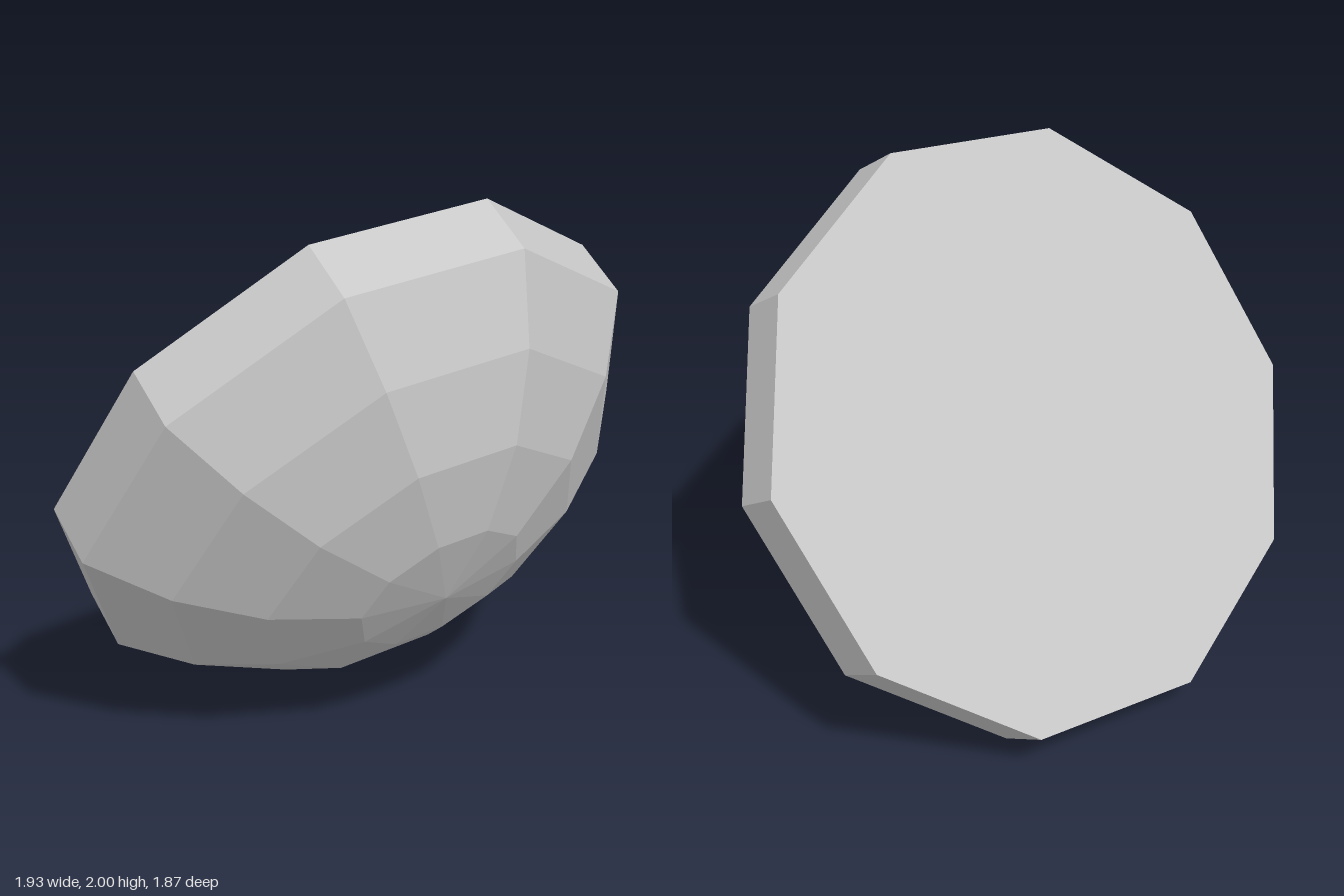
import * as THREE from 'three';

const SIDES = 10;
const RIM_RADIUS = 1.128; // radius of the ten-sided face
const BAND = 0.24;        // height of the straight rim band
const CAP = 0.595;        // height of the rounded cap under the band
const CAP_RINGS = 4;

export function createModel() {
  const group = new THREE.Group();
  group.name = 'tiltedDome';
  const grey = new THREE.MeshStandardMaterial({ color: 0xc8c8c8, flatShading: true });
  grey.name = 'grey';

  const addPart = (name, profile) => {
    const points = profile.map(([r, y]) => new THREE.Vector2(r, y));
    const mesh = new THREE.Mesh(new THREE.LatheGeometry(points, SIDES), grey);
    mesh.name = name;
    body.add(mesh);
  };

  const body = new THREE.Group();
  body.name = 'domeBody';
  group.add(body);

  // Rounded cap: a slice of a sphere, from the pole up to the band
  const radius = (RIM_RADIUS ** 2 + CAP ** 2) / (2 * CAP);
  const spread = Math.asin(RIM_RADIUS / radius);
  const cap = [];
  for (let i = 0; i <= CAP_RINGS; i++) {
    const a = (spread * i) / CAP_RINGS;
    cap.push([radius * Math.sin(a), -BAND - CAP + radius * (1 - Math.cos(a))]);
  }
  addPart('roundedCap', cap);

  // Straight band round the rim, and the flat face that closes it
  addPart('rimBand', [[RIM_RADIUS, -BAND], [RIM_RADIUS, 0]]);
  addPart('flatFace', [[RIM_RADIUS, 0], [0, 0]]);

  // Tilt: the flat face looks up and back, one rim corner points to the top
  const up = new THREE.Vector3(-0.546, 0.532, -0.647).normalize();
  const corner = new THREE.Vector3(0.555, 0.935, 0.3).projectOnPlane(up).normalize();
  const across = new THREE.Vector3().crossVectors(up, corner);
  body.quaternion.setFromRotationMatrix(new THREE.Matrix4().makeBasis(across, up, corner));
  body.position.set(-0.066, 1.066, -0.08);
  return group;
}
